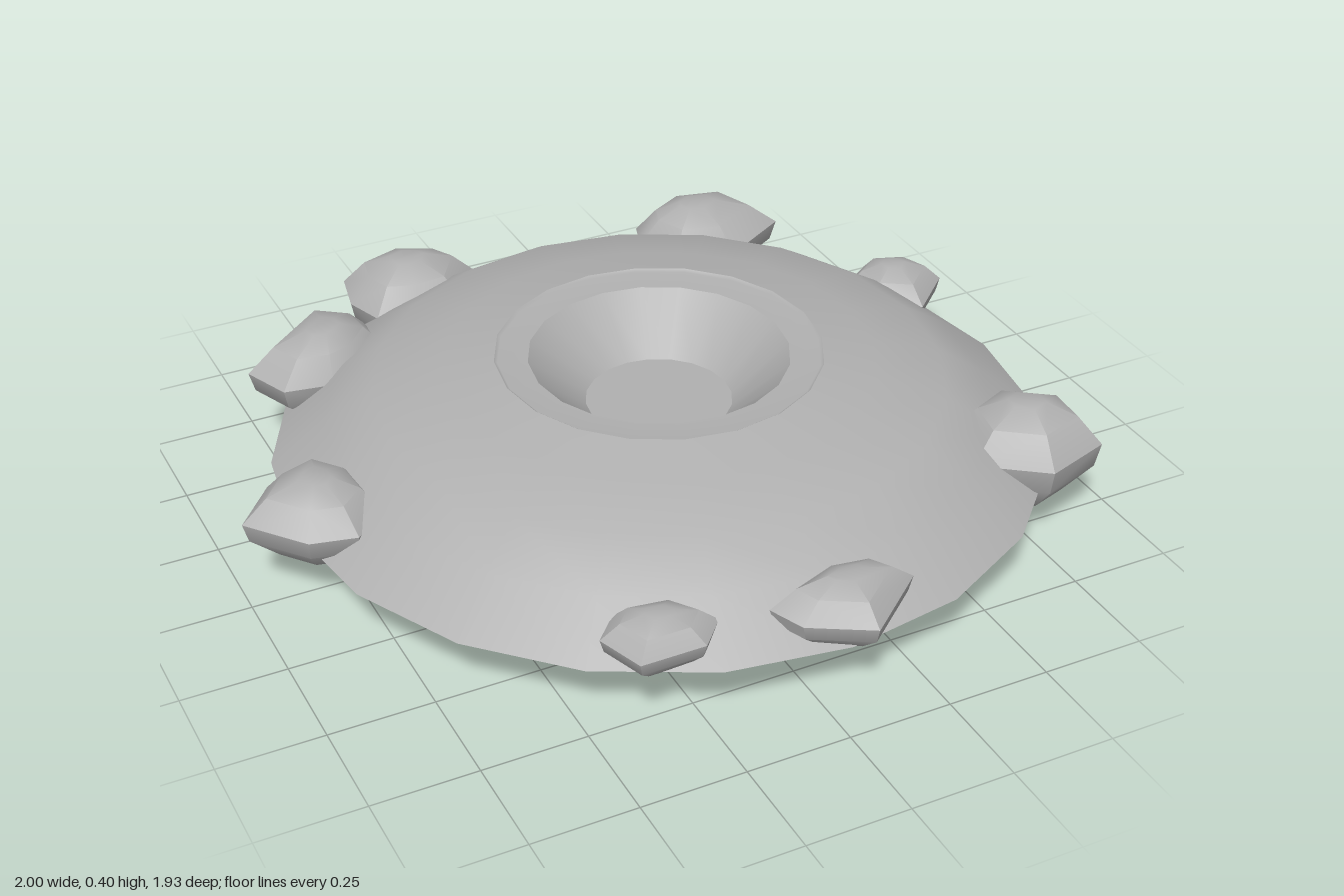
import * as THREE from 'three';
import { toCreasedNormals } from 'three/addons/utils/BufferGeometryUtils.js';
import { ConvexGeometry } from 'three/addons/geometries/ConvexGeometry.js';

const stone = new THREE.MeshStandardMaterial({ color: 0xb0b0b0 });
stone.name = 'grey stone';

// Turned part: profile runs from the underside outward, up and back inward
function turned(name, profile, sides = 20) {
  const points = profile.map(([r, y]) => new THREE.Vector2(r, y));
  const mesh = new THREE.Mesh(new THREE.LatheGeometry(points, sides), stone);
  mesh.name = name;
  return mesh;
}

// Faceted boulder: its plan outline is repeated at several heights and hulled
const LEVELS = [[0, 0.22], [0.13, 0.55], [0.4, 0.93], [0.62, 1], [0.88, 0.66], [1, 0.25]];
function boulder(name, outline, bottom, top) {
  const n = outline.length;
  const cx = outline.reduce((s, p) => s + p[0], 0) / n;
  const cz = outline.reduce((s, p) => s + p[1], 0) / n;
  const points = [];
  for (const [h, scale] of LEVELS) {
    for (const [x, z] of outline) {
      points.push(new THREE.Vector3(
        cx + (x - cx) * scale, bottom + (top - bottom) * h, cz + (z - cz) * scale));
    }
  }
  const mesh = new THREE.Mesh(toCreasedNormals(new ConvexGeometry(points), 0.6), stone);
  mesh.name = name;
  return mesh;
}

// Plan outlines as [x, z], then bottom and top heights
const BOULDERS = [
  ['backLeftBoulder', [[0.52, -0.91], [0.69, -0.87], [0.75, -0.71], [0.56, -0.6], [0.41, -0.64], [0.36, -0.755], [0.39, -0.84]], 0.1, 0.33],
  ['leftBoulder', [[0.85, -0.41], [0.96, -0.37], [1, -0.27], [0.88, -0.16], [0.77, -0.23], [0.76, -0.345]], 0.125, 0.29],
  ['frontLeftBoulder', [[0.77, 0.31], [0.93, 0.425], [0.92, 0.575], [0.75, 0.63], [0.6, 0.52], [0.63, 0.37]], 0.055, 0.335],
  ['frontBoulder', [[0.07, 0.74], [0.2, 0.76], [0.245, 0.83], [0.08, 0.965], [-0.06, 0.885], [-0.095, 0.8]], 0.13, 0.3],
  ['frontRightBoulder', [[-0.4, 0.66], [-0.265, 0.68], [-0.2, 0.77], [-0.265, 0.84], [-0.42, 0.84], [-0.46, 0.725]], 0.14, 0.28],
  ['rightBoulder', [[-1, -0.01], [-0.9, -0.13], [-0.78, -0.17], [-0.7, -0.07], [-0.69, 0.07], [-0.78, 0.15], [-0.89, 0.125]], 0.09, 0.305],
  ['backRightOuterBoulder', [[-0.56, -0.78], [-0.45, -0.7], [-0.44, -0.585], [-0.53, -0.48], [-0.62, -0.45], [-0.74, -0.47], [-0.79, -0.59]], 0.1, 0.33],
  ['backRightInnerBoulder', [[-0.42, -0.92], [-0.27, -0.97], [-0.14, -0.91], [-0.09, -0.82], [-0.18, -0.68], [-0.31, -0.665], [-0.41, -0.7], [-0.445, -0.8]], 0.09, 0.335],
];

export function createModel() {
  const model = new THREE.Group();
  model.name = 'craterMound';

  // Mound, crater and stem share one axis, slightly off centre
  const mound = new THREE.Group();
  mound.name = 'mound';
  mound.position.set(0.053, 0, -0.025);
  mound.add(
    turned('underside', [[0, 0.16], [0.932, 0.16]]),
    turned('dome', [[0.932, 0.16], [0.8, 0.262], [0.685, 0.335], [0.52, 0.372], [0.393, 0.396]]),
    turned('craterRim', [[0.393, 0.396], [0.385, 0.39], [0.313, 0.387]]),
    turned('craterWall', [[0.313, 0.387], [0.177, 0.26]]),
    turned('craterFloor', [[0.177, 0.26], [0, 0.26]]),
    turned('stem', [[0.155, 0], [0.17, 0.16]]),
    turned('stemBase', [[0, 0], [0.155, 0]]),
  );
  model.add(mound);

  // Boulders scattered round the edge
  for (const entry of BOULDERS) model.add(boulder(...entry));
  return model;
}
